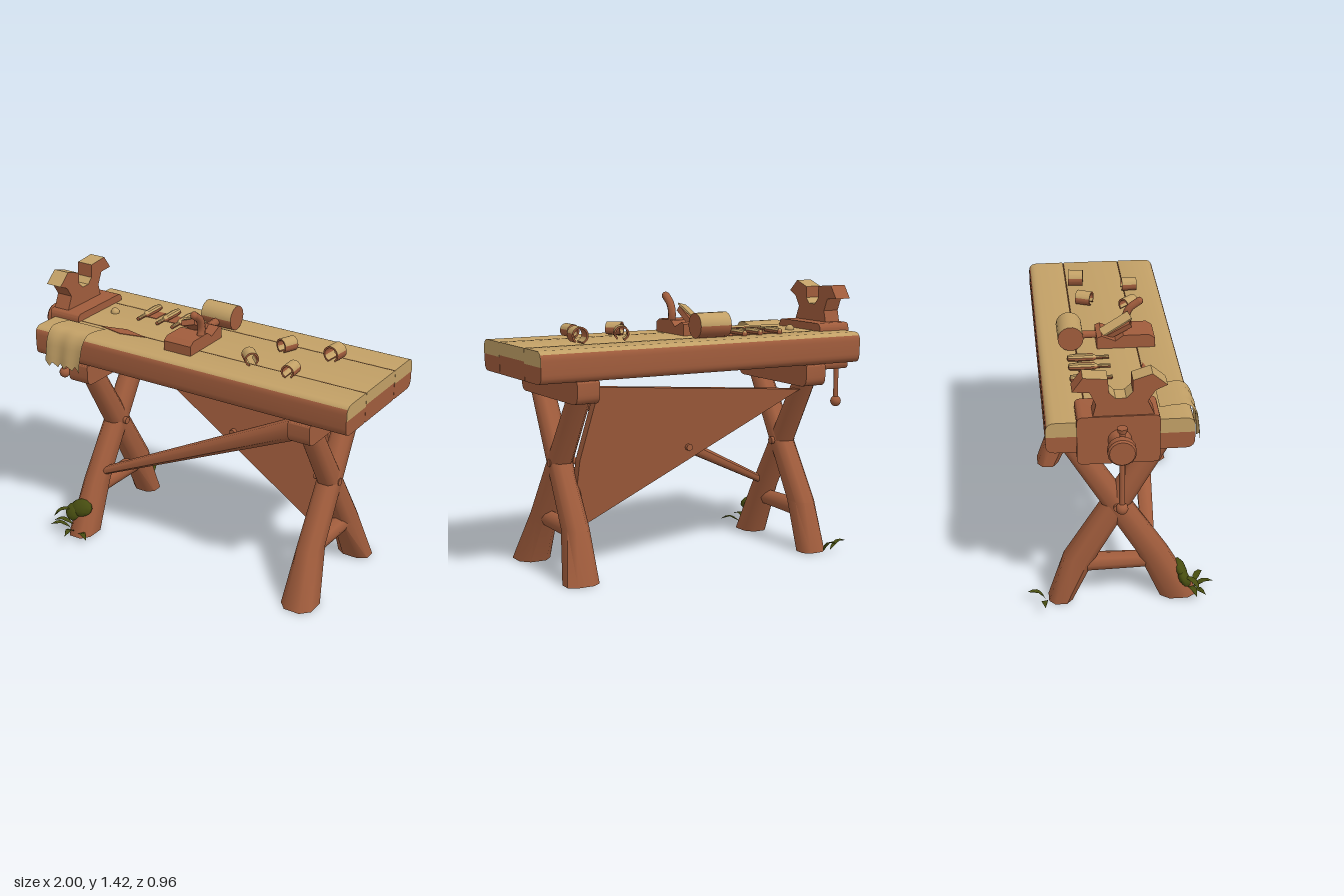
import * as THREE from 'three';
import { toCreasedNormals } from 'three/addons/utils/BufferGeometryUtils.js';

const material = (name, color, side = THREE.FrontSide) =>
  Object.assign(new THREE.MeshStandardMaterial({ color, side }), { name });

export function createModel() {
  const model = new THREE.Group();
  const brown = material('brownWood', 0xa05c3c);
  const tan = material('paleWood', 0xc2a066, THREE.DoubleSide);
  const green = material('leafGreen', 0x474d10, THREE.DoubleSide);

  function add(name, geo, mat, pos = [0, 0, 0], rot = [0, 0, 0], parent = model) {
    const mesh = new THREE.Mesh(geo, mat);
    mesh.name = name;
    mesh.position.set(...pos);
    mesh.rotation.set(...rot);
    parent.add(mesh);
    return mesh;
  }

  // Gives faces that look upwards the pale colour, the rest brown
  function addTopped(name, geo, limit = 0.5, crease = 0.6) {
    const g = toCreasedNormals(geo, crease);
    const p = g.attributes.position;
    const [a, b, c, n] = [0, 1, 2, 3].map(() => new THREE.Vector3());
    g.clearGroups();
    for (let i = 0; i < p.count; i += 3) {
      [a, b, c].forEach((v, k) => v.fromBufferAttribute(p, i + k));
      n.crossVectors(b.sub(a), c.sub(a)).normalize();
      const m = n.y > limit ? 1 : 0;
      const last = g.groups[g.groups.length - 1];
      if (last && last.materialIndex === m) last.count += 3;
      else g.addGroup(i, 3, m);
    }
    return add(name, g, [brown, tan]);
  }

  // Outline of [z, y] points pushed along x
  function alongX(shape, x0, x1) {
    const g = new THREE.ExtrudeGeometry(shape, { depth: x1 - x0, bevelEnabled: false, curveSegments: 5 });
    return g.rotateY(Math.PI / 2).translate(x0, 0, 0);
  }
  const outline = pts => new THREE.Shape(pts.map(([z, y]) => new THREE.Vector2(-z, y)));

  // Rectangle with its own radius for each corner: front/back bottom, front/back top
  function rounded(zBack, zFront, y0, y1, fb, bb, bt, ft) {
    const s = new THREE.Shape();
    const l = -zFront, r = -zBack;
    s.moveTo(l + fb, y0);
    s.lineTo(r - bb, y0); s.quadraticCurveTo(r, y0, r, y0 + bb);
    s.lineTo(r, y1 - bt); s.quadraticCurveTo(r, y1, r - bt, y1);
    s.lineTo(l + ft, y1); s.quadraticCurveTo(l, y1, l, y1 - ft);
    s.lineTo(l, y0 + fb); s.quadraticCurveTo(l, y0, l + fb, y0);
    return s;
  }

  // Chamfered beam through rings [x, y, z, halfA, halfB]; upright rings lie flat, others face x
  function loft(rings, upright) {
    const corners = [[1, -.5], [1, .5], [.5, 1], [-.5, 1], [-1, .5], [-1, -.5], [-.5, -1], [.5, -1]];
    const pos = [], idx = [], last = (rings.length - 1) * 8;
    for (const [x, y, z, a, b] of rings)
      for (const [u, v] of corners)
        pos.push(...(upright ? [x + u * a, y, z + v * b] : [x, y + v * b, z + u * a]));
    for (let i = 0; i < last; i += 8)
      for (let j = 0; j < 8; j++) {
        const k = (j + 1) % 8;
        idx.push(i + j, i + 8 + j, i + 8 + k, i + j, i + 8 + k, i + k);
      }
    for (let j = 1; j < 7; j++) idx.push(0, j, j + 1, last, last + j + 1, last + j);
    const g = new THREE.BufferGeometry();
    g.setAttribute('position', new THREE.Float32BufferAttribute(pos, 3));
    g.setIndex(idx);
    return toCreasedNormals(g, 0.9);
  }

  // Three top planks with pale upper ends
  const planks = [[0.13, 0.327, 0.008, 0.045], [-0.18, 0.128, 0.008, 0.008], [-0.375, -0.182, 0.045, 0.008]];
  planks.forEach(([z0, z1, rb, rf], i) => {
    addTopped('plank', alongX(rounded(z0, z1, 1.02, 1.18, rf, rb, rb, rf), -0.84, 0.998));
    const y = i === 1 ? 1.115 : 1.105;
    for (const x of [-0.842, 0.997])
      add('plankEnd', alongX(rounded(z0, z1, y, 1.18, 0.001, 0.001, rb, rf), x, x + 0.003), tan);
  });

  // Two trestles: cross beam, crossed legs, stretcher and peg
  const trestles = [
    { x: -0.58, foot: -0.59, knee: -0.592, wide: 0.07, y: 0.225 },
    { x: 0.74, foot: 0.772, knee: 0.752, wide: 0.087, y: 0.26 }];
  for (const t of trestles) {
    add('crossBeam', toCreasedNormals(alongX(rounded(-0.35, 0.315, 0.905, 1.02, 0.05, 0.05, 0.01, 0.01),
      t.x - 0.06, t.x + 0.06), 0.6), brown);
    add('leg', loft([[t.foot, 0.012, 0.297, t.wide, 0.093], [t.knee, 0.28, 0.165, 0.06, 0.078],
      [t.x, 0.95, -0.255, 0.052, 0.062]], true), brown);
    add('leg', loft([[t.foot, 0.012, -0.307, t.wide, 0.06], [t.knee, 0.27, -0.205, 0.06, 0.08],
      [t.x, 0.95, 0.205, 0.052, 0.062]], true), brown);
    add('stretcher', new THREE.CylinderGeometry(0.042, 0.05, 0.4, 8), brown, [t.knee, t.y, 0], [Math.PI / 2, 0, 0]);
    add('peg', new THREE.CylinderGeometry(0.02, 0.02, 0.145, 10), brown, [t.x - 0.005, 0.575, -0.02], [0, 0, Math.PI / 2]);
  }

  // Tapered front brace and the broad slanting back panel
  add('frontBrace', loft([[-0.55, 0.33, 0.145, 0.032, 0.022], [0.74, 0.965, 0.185, 0.06, 0.06]], false), brown);
  const panelShape = new THREE.Shape([[-0.54, 0.885], [0.72, 0.22], [0.7, 0.6], [0.62, 0.97]]
    .map(p => new THREE.Vector2(...p)));
  const panel = new THREE.ExtrudeGeometry(panelShape, { depth: 0.05, bevelEnabled: false });
  const pp = panel.attributes.position;
  for (let i = 0; i < pp.count; i++)
    pp.setZ(i, pp.getZ(i) - 0.092 + 0.046 * pp.getX(i) - 0.167 * pp.getY(i));
  panel.computeVertexNormals();
  add('backPanel', panel, brown);
  add('panelPeg', new THREE.CylinderGeometry(0.018, 0.018, 0.09, 8), brown, [0.1, 0.62, -0.165], [Math.PI / 2, 0, 0]);

  // Vise: jaw block, forked horns, screw and hanging handle
  add('viseJaw', toCreasedNormals(alongX(rounded(-0.23, 0.16, 0.97, 1.22, 0.03, 0.03, 0.03, 0.03), -0.87, -0.685), 0.6), brown);
  addTopped('viseHorns', alongX(outline([[0.14, 1.2], [0.1, 1.29], [0.135, 1.345], [0.19, 1.37], [0.12, 1.43],
    [0.03, 1.4], [0.03, 1.34], [0, 1.31], [-0.05, 1.31], [-0.08, 1.34], [-0.085, 1.41], [-0.2, 1.42],
    [-0.25, 1.35], [-0.17, 1.345], [-0.14, 1.28], [-0.16, 1.2]]), -0.862, -0.772), 0.7);
  const screw = [[0, 0], [0.06, 0], [0.068, 0.01], [0.068, 0.045], [0.045, 0.055], [0.045, 0.1], [0.06, 0.14]]
    .map(p => new THREE.Vector2(...p));
  add('viseScrew', toCreasedNormals(new THREE.LatheGeometry(screw, 16), 0.6), brown, [-1, 1.095, -0.03], [0, 0, -Math.PI / 2]);
  add('viseHandle', new THREE.CylinderGeometry(0.014, 0.014, 0.42, 10), brown, [-0.94, 0.98, -0.025]);
  add('handleTop', new THREE.CylinderGeometry(0.026, 0.022, 0.022, 10), brown, [-0.94, 1.187, -0.025]);
  add('handleBall', new THREE.SphereGeometry(0.03, 14, 10), brown, [-0.94, 0.762, -0.025]);

  // Cloth draped over the front edge, with a ragged hem
  const drape = new THREE.CatmullRomCurve3([[0.17, 1.185], [0.24, 1.197], [0.31, 1.195], [0.345, 1.15],
    [0.357, 1.08], [0.362, 1.02]].map(([z, y]) => new THREE.Vector3(0, y, z)));
  const cloth = new THREE.PlaneGeometry(0.22, 1, 14, 14);
  const cp = cloth.attributes.position;
  for (let i = 0; i < cp.count; i++) {
    const x = cp.getX(i), t = 0.5 - cp.getY(i), d = drape.getPoint(t);
    const rag = t > 0.99 ? (i % 3) * 0.012 : 0;
    const fold = 0.006 * Math.sin(x * 60) * t;
    cp.setXYZ(i, -0.648 + x * (1.1 - 0.1 * t) + 0.03 * (1 - t), d.y - rag, d.z + fold);
  }
  cloth.computeVertexNormals();
  add('cloth', cloth, tan);

  // Chisels lying side by side, with worn marks below them
  const chisel = [[0, 0], [0.016, 0.005], [0.021, 0.05], [0.018, 0.13], [0.01, 0.145], [0.01, 0.21], [0, 0.212]]
    .map(p => new THREE.Vector2(...p));
  for (const x of [-0.43, -0.31, -0.215]) {
    const g = new THREE.LatheGeometry(chisel, 10).rotateX(Math.PI / 2).translate(x, 1.193, -0.235);
    addTopped('chisel', g, 0.2);
    add('wornMark', new THREE.BoxGeometry(0.07, 0.004, 0.09), brown, [x + 0.03, 1.181, -0.145]);
  }
  add('nail', new THREE.SphereGeometry(0.024, 10, 8), tan, [-0.605, 1.183, -0.06]);
  const gash = new THREE.Shape([[-0.55, -0.14], [-0.41, -0.17], [-0.27, -0.14], [-0.41, -0.105]]
    .map(p => new THREE.Vector2(...p)));
  add('gash', new THREE.ExtrudeGeometry(gash, { depth: 0.004, bevelEnabled: false }), brown, [0, 1.179, 0], [-Math.PI / 2, 0, 0]);

  // Hand plane with blade, wedge and curved horn
  add('planeBody', toCreasedNormals(alongX(outline([[0.22, 1.18], [0.22, 1.23], [0.19, 1.25], [0.06, 1.25],
    [0.02, 1.22], [-0.05, 1.25], [-0.075, 1.24], [-0.075, 1.18]]), -0.1, 0.06), 0.4), brown);
  const hornPath = new THREE.CatmullRomCurve3([[0.04, 1.2, 0.12], [0.04, 1.27, 0.085], [0.04, 1.33, 0.1],
    [0.04, 1.375, 0.155]].map(p => new THREE.Vector3(...p)));
  add('planeHorn', new THREE.TubeGeometry(hornPath, 10, 0.021, 8), brown);
  add('hornTip', new THREE.SphereGeometry(0.021, 8, 6), brown, [0.04, 1.373, 0.153]);
  add('planeWedge', new THREE.BoxGeometry(0.075, 0.03, 0.16), brown, [-0.035, 1.262, 0.025], [-0.5, 0, 0.3]);
  add('planeBlade', new THREE.BoxGeometry(0.06, 0.009, 0.17), tan, [-0.04, 1.287, 0.025], [-0.5, 0.15, 0.35]);

  // Mallet head and its handle
  addTopped('malletHead', new THREE.CylinderGeometry(0.065, 0.065, 0.18, 18).rotateZ(Math.PI / 2)
    .translate(-0.02, 1.245, -0.208), 0.1);
  add('malletHandle', new THREE.CylinderGeometry(0.018, 0.022, 0.14, 8), brown, [-0.02, 1.225, -0.1], [Math.PI / 2, 0, 0]);

  // Wood shavings curled into open rings
  for (const [x, z, turn, r] of [[0.435, -0.1, -0.4, 0.038], [0.69, -0.13, -0.1, 0.043],
    [0.355, 0.13, 0.75, 0.036], [0.6, 0.155, 0.05, 0.035]]) {
    const s = new THREE.Shape();
    s.absarc(0, 0, r, -0.9, 4.4, false);
    s.absarc(0, 0, r - 0.009, 4.4, -0.9, true);
    const g = new THREE.ExtrudeGeometry(s, { depth: 0.08, bevelEnabled: false, curveSegments: 14 });
    addTopped('shaving', g.translate(0, 0, -0.04).rotateY(turn).translate(x, 1.18 + r, z), 0.3);
  }

  // Leaves and moss at the feet
  const leafShape = new THREE.Shape();
  leafShape.quadraticCurveTo(0.035, 0.04, 0, 0.11);
  leafShape.quadraticCurveTo(-0.035, 0.04, 0, 0);
  const leaf = new THREE.ShapeGeometry(leafShape, 5).rotateX(Math.PI / 2);
  const lp = leaf.attributes.position;
  for (let i = 0; i < lp.count; i++)
    lp.setY(i, Math.abs(lp.getX(i)) * 0.5 + 0.03 * Math.sin(lp.getZ(i) * 22));
  leaf.computeVertexNormals();
  for (const [x, y, z, turn, tilt] of [[-0.61, 0.035, 0.375, 0.2, -0.05], [-0.64, 0.04, 0.36, -0.9, -0.1],
    [-0.63, 0.06, 0.35, -1.3, 0.1], [-0.57, 0.03, 0.38, 1.0, 0], [-0.62, 0.02, -0.385, 3.3, -0.4],
    [-0.655, 0.025, -0.395, 4.75, -0.2], [-0.65, 0.14, 0.32, -0.8, 0.5]])
    add('leaf', leaf, green, [x, y, z], [0, turn, 0]).rotateX(tilt);
  for (const [x, y, z, s] of [[-0.6, 0.155, 0.31, 1], [-0.645, 0.125, 0.325, 0.7]])
    add('moss', new THREE.SphereGeometry(1, 9, 6), green, [x, y, z], [-0.5, 0, 0.2]).scale.set(0.07 * s, 0.05, 0.028);

  return model;
}
